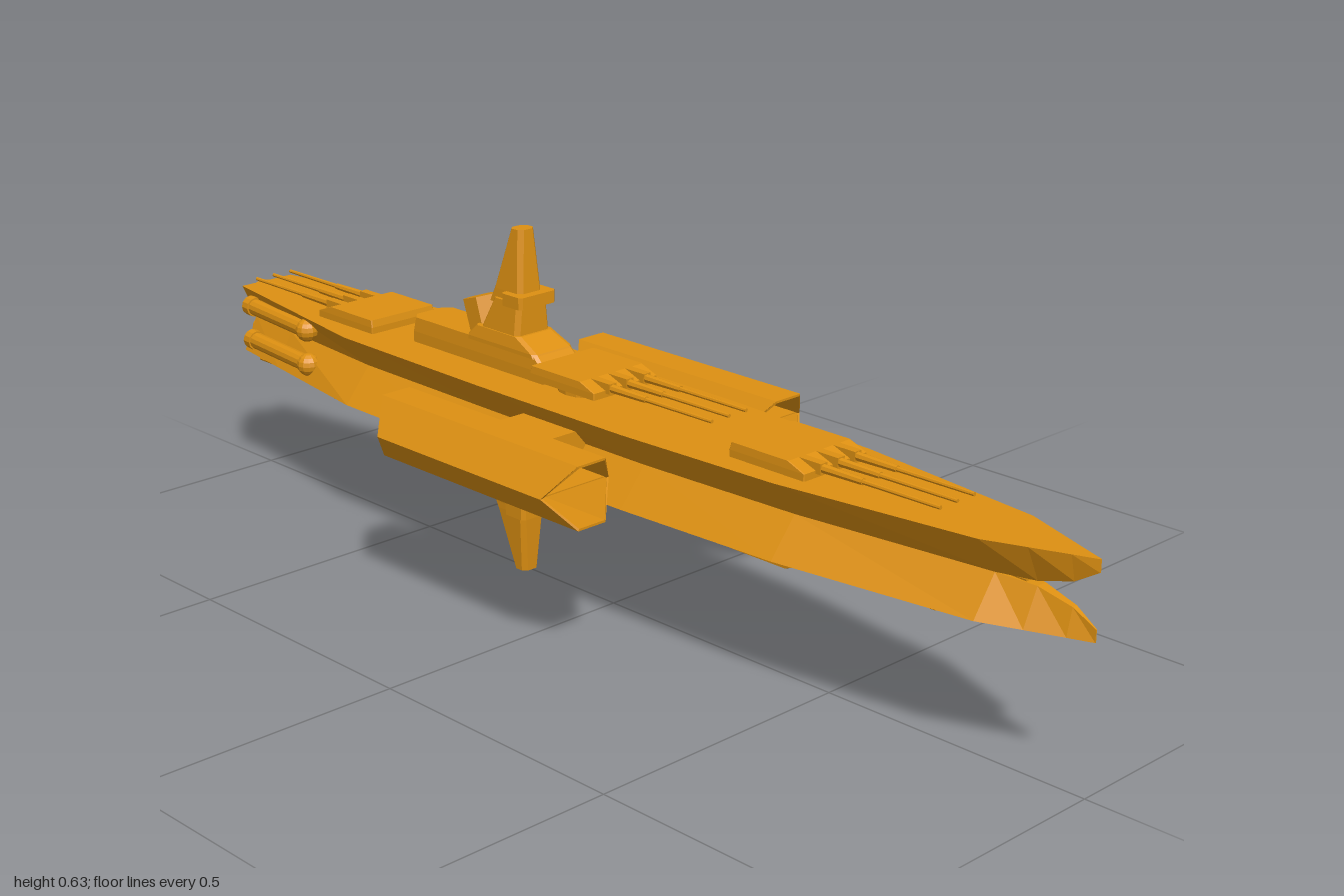
import * as THREE from 'three';

const material = new THREE.MeshStandardMaterial({ color: 0xdd9012, flatShading: true });
const thinMaterial = new THREE.MeshStandardMaterial({ color: 0xdd9012, flatShading: true, side: THREE.DoubleSide });

function add(parent, name, geometry, x = 0, y = 0, z = 0, mat = material) {
  const mesh = new THREE.Mesh(geometry, mat);
  mesh.name = name;
  mesh.position.set(x, y, z);
  parent.add(mesh);
  return mesh;
}

// Skin rings of [x, y, z] points, counter-clockwise seen from +z, ordered by rising z
function loft(rings, capped = true) {
  const n = rings[0].length, pos = [];
  const tri = (a, b, c) => pos.push(...a, ...b, ...c);
  for (let i = 0; i < rings.length - 1; i++) {
    for (let j = 0; j < n; j++) {
      const k = (j + 1) % n, p = rings[i], q = rings[i + 1];
      tri(p[j], p[k], q[k]);
      tri(p[j], q[k], q[j]);
    }
  }
  if (capped) {
    const first = rings[0], last = rings[rings.length - 1];
    for (let j = 1; j < n - 1; j++) {
      tri(first[0], first[j + 1], first[j]);
      tri(last[0], last[j], last[j + 1]);
    }
  }
  const g = new THREE.BufferGeometry();
  g.setAttribute('position', new THREE.Float32BufferAttribute(pos, 3));
  g.computeVertexNormals();
  return g;
}

// Upright block from levels [y, halfWidth, zFront, zBack], with front and back corner cuts
function tower(levels, cutF = 0.002, cutB = cutF) {
  return loft(levels.map(([y, w, zf, zb]) => [
    [-w + cutF, -zf, y], [w - cutF, -zf, y], [w, -zf + cutF, y], [w, -zb - cutB, y],
    [w - cutB, -zb, y], [-w + cutB, -zb, y], [-w, -zb - cutB, y], [-w, -zf + cutF, y],
  ])).rotateX(-Math.PI / 2);
}

function rod(r0, r1, length, sides = 8) {
  return new THREE.CylinderGeometry(r1, r0, length, sides).rotateX(Math.PI / 2);
}

// Three-gun turret, guns towards +z
function makeTurret(name, y, z, dir) {
  const turret = new THREE.Group();
  turret.name = name;
  add(turret, 'turretRing', new THREE.CylinderGeometry(0.055, 0.055, 0.03, 16), 0, -0.005, 0.07);
  add(turret, 'turretHouse', tower([[0, 0.074, 0.16, 0], [0.012, 0.074, 0.16, 0], [0.025, 0.073, 0.125, 0.003]]));
  for (const x of [-0.04, 0, 0.04]) {
    add(turret, 'gunMount', new THREE.BoxGeometry(0.016, 0.018, 0.05), x, 0.016, 0.145);
    add(turret, 'gunSleeve', rod(0.008, 0.006, 0.09), x, 0.016, 0.205);
    add(turret, 'gunBarrel', rod(0.0045, 0.0035, 0.16), x, 0.016, 0.32);
  }
  turret.position.set(0, y, z);
  if (dir < 0) turret.rotation.y = Math.PI;
  return turret;
}

// One hull half with everything standing on its deck
function makeHalf(name) {
  const half = new THREE.Group();
  half.name = name;

  // Hull stations: z, deck half-width, waist half-width, underside height
  const stations = [
    [-0.985, 0.058, 0.028, 0], [-0.85, 0.08, 0.045, 0], [-0.58, 0.124, 0.07, 0], [-0.2, 0.13, 0.075, 0],
    [0.15, 0.128, 0.074, 0], [0.47, 0.113, 0.06, 0], [0.83, 0.066, 0.02, 0],
    [0.9, 0.039, 0.01, 0.004], [0.96, 0.016, 0.005, 0.02], [1, 0.001, 0.001, 0.044],
  ];
  add(half, 'hull', loft(stations.map(([z, w, waist, low]) =>
    [[-waist, low, z], [waist, low, z], [w, 0.065, z], [-w, 0.065, z]])));

  // Guns
  half.add(makeTurret('bowTurret', 0.065, 0.34, 1));
  half.add(makeTurret('middleTurret', 0.081, -0.13, 1));
  half.add(makeTurret('sternTurret', 0.065, -0.56, -1));

  // Superstructure
  add(half, 'deckhouse', tower([[0.06, 0.046, -0.12, -0.49], [0.085, 0.046, -0.12, -0.49], [0.111, 0.044, -0.15, -0.485]], 0.006, 0.016));
  add(half, 'upperHouse', tower([[0.105, 0.046, -0.145, -0.33], [0.112, 0.046, -0.15, -0.33], [0.133, 0.042, -0.195, -0.31]], 0.008));
  add(half, 'bridgeTower', tower([[0.13, 0.04, -0.2, -0.3], [0.19, 0.034, -0.2, -0.27]], 0.008));
  add(half, 'bridge', tower([[0.183, 0.042, -0.187, -0.24], [0.205, 0.042, -0.187, -0.24]], 0.006));
  add(half, 'mast', tower([[0.18, 0.028, -0.205, -0.29], [0.205, 0.027, -0.205, -0.278], [0.316, 0.018, -0.212, -0.243]], 0.008));
  const funnel = add(half, 'funnel', new THREE.CylinderGeometry(0.036, 0.034, 0.1, 6), 0, 0.125, -0.32);
  funnel.rotation.x = -0.3;

  // Side thrusters, following the tapering stern
  for (const s of [-1, 1]) {
    const thruster = new THREE.Group();
    thruster.name = s > 0 ? 'leftThruster' : 'rightThruster';
    add(thruster, 'thrusterTube', rod(0.016, 0.016, 0.21, 12));
    add(thruster, 'thrusterNose', new THREE.SphereGeometry(0.022, 12, 8), 0, 0, 0.1);
    add(thruster, 'thrusterCollar', rod(0.019, 0.019, 0.02, 12), 0, 0, -0.1);
    thruster.position.set(s * 0.074, 0.034, -0.845);
    thruster.rotation.y = s * 0.1;
    half.add(thruster);
  }

  // Stern nozzle
  const profile = [[0, 0.012], [0.02, 0.012], [0.024, -0.014], [0.03, -0.014], [0.028, 0.03]]
    .map(([r, h]) => new THREE.Vector2(r, h));
  add(half, 'sternNozzle', new THREE.LatheGeometry(profile, 12).rotateX(Math.PI / 2), 0, 0.034, -0.986, thinMaterial);
  return half;
}

// Open hexagonal side pod on a strut
function makePod(name, s) {
  const pod = new THREE.Group();
  pod.name = name;
  const ring = (inset, end) => [[1, 0], [0.4, 1], [-0.4, 1], [-1, 0], [-0.4, -1], [0.4, -1]].map(([x, y]) =>
    [x * (0.075 - inset), y * (0.055 - inset * 0.8), -0.055 + end * (y ? 0.245 : 0.205)]);
  // Outer skin, front lip, inner skin, back lip
  add(pod, 'podShell', loft([ring(0, -1), ring(0, 1), ring(0.005, 1), ring(0.005, -1), ring(0, -1)], false));
  add(pod, 'podDivider', new THREE.BoxGeometry(0.142, 0.002, 0.4), 0, 0, -0.055);
  add(pod, 'podStrut', new THREE.BoxGeometry(0.12, 0.056, 0.13), -s * 0.117, 0, -0.055);
  pod.position.x = s * 0.23;
  return pod;
}

export function createModel() {
  const model = new THREE.Group();
  model.name = 'spaceBattleship';
  const ship = new THREE.Group();
  ship.name = 'ship';
  ship.position.y = 0.319;
  model.add(ship);

  // The lower half is the upper one turned over about the long axis
  ship.add(makeHalf('upperHalf'));
  const lower = makeHalf('lowerHalf');
  lower.rotation.z = Math.PI;
  ship.add(lower);

  ship.add(makePod('leftPod', 1), makePod('rightPod', -1));
  add(ship, 'bowCannon', rod(0.012, 0.011, 0.12, 12), 0, 0, 0.82);
  return model;
}
